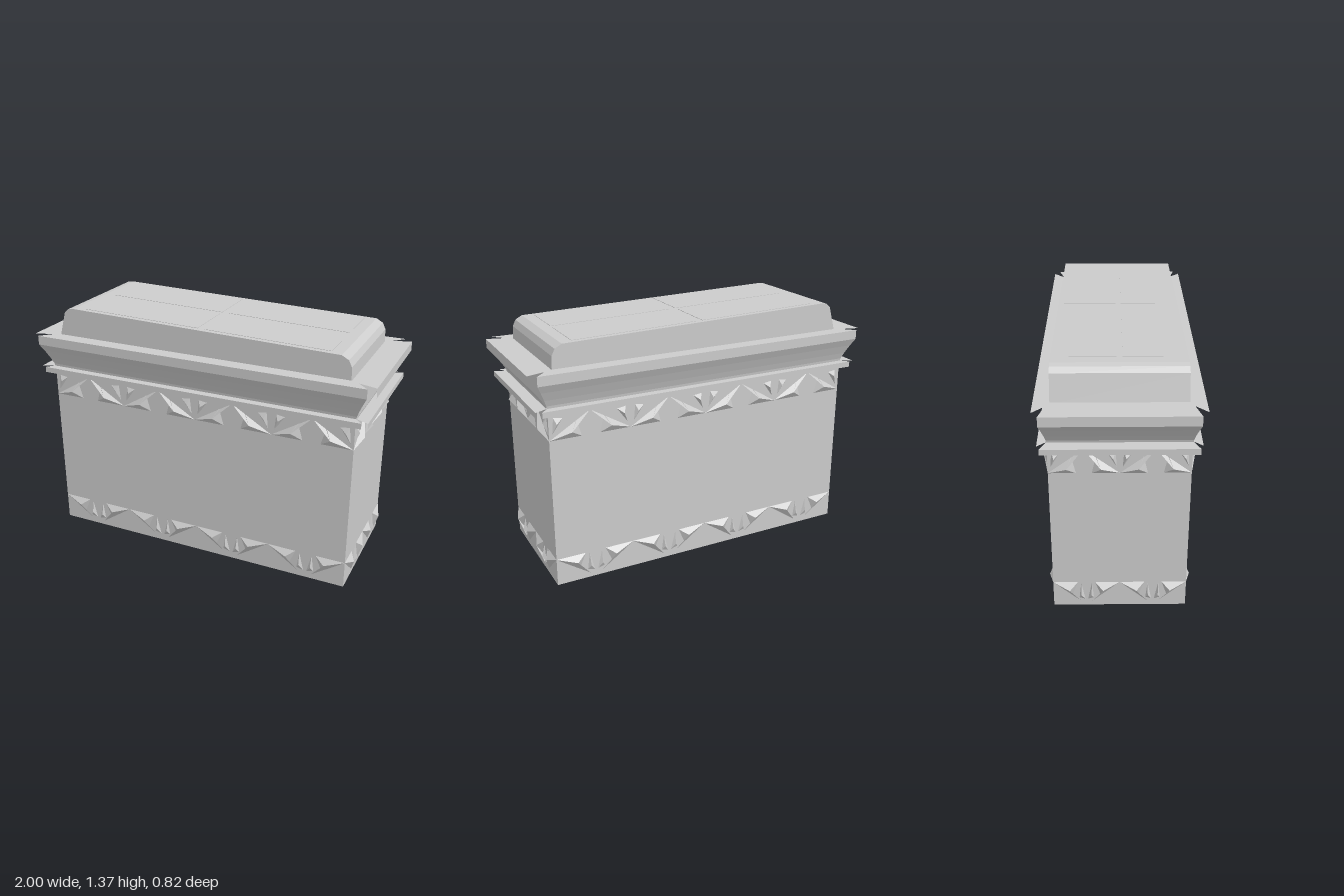
import * as THREE from 'three';

const BODY = { x: 0.9, z: 0.35 };

function material(flat = true) {
  return new THREE.MeshStandardMaterial({ color: 0xcccccc, flatShading: flat });
}

function triangleMesh(name, positions) {
  const geo = new THREE.BufferGeometry();
  geo.setAttribute('position', new THREE.Float32BufferAttribute(positions, 3));
  geo.computeVertexNormals();
  const mesh = new THREE.Mesh(geo, material());
  mesh.name = name;
  return mesh;
}

// Moulding facing +z: profile points are [outward fraction, y]; ends are mitred
function moulding(name, profile, half, wall, depth, mitre) {
  const pos = [];
  for (let i = 0; i < profile.length - 1; i++) {
    const [d0, y0] = profile[i], [d1, y1] = profile[i + 1];
    const a = [-half - d0 * mitre, y0, wall + d0 * depth];
    const b = [-half - d1 * mitre, y1, wall + d1 * depth];
    const c = [-b[0], b[1], b[2]], d = [-a[0], a[1], a[2]];
    pos.push(...a, ...b, ...c, ...a, ...c, ...d);
  }
  return triangleMesh(name, pos);
}

// Faceted leaf shapes: outline in unit coordinates (u across, v up) plus a raised point
const SWAG = { outline: [[-0.5, 1], [-0.08, 0], [-0.21, 0.35], [-0.13, 1]], peak: [-0.25, 0.72, 1] };
const DART = { outline: [[-0.08, 0.95], [-0.11, 0.2], [-0.02, 0.12]], peak: [-0.075, 0.4, 0.6] };
const PETAL = { outline: [[-0.5, 1], [0, 0], [-0.17, 0.3], [-0.11, 1]], peak: [-0.24, 0.72, 1] };
const BUD = { outline: [[-0.46, 0.75], [-0.44, 0.1], [-0.33, 0.15]], peak: [-0.41, 0.35, 0.6] };

// Row of mirrored leaves on a wall facing +z
function frieze(name, leaves, count, half, wall, yAtV0, yAtV1, depth) {
  const pos = [];
  const width = (2 * half) / count;
  for (let i = 0; i < count; i++) {
    const cx = -half + (i + 0.5) * width;
    for (const side of [1, -1]) {
      for (const { outline, peak } of leaves) {
        const place = ([u, v, w = 0]) =>
          [cx + side * u * width, yAtV0 + v * (yAtV1 - yAtV0), wall + w * depth];
        const pts = outline.map(place), top = place(peak);
        const area = pts.reduce((s, p, k) => {
          const q = pts[(k + 1) % pts.length];
          return s + p[0] * q[1] - q[0] * p[1];
        }, 0);
        if (area < 0) pts.reverse();
        pts.forEach((p, k) => pos.push(...p, ...pts[(k + 1) % pts.length], ...top));
      }
    }
  }
  return triangleMesh(name, pos);
}

export function createModel() {
  const model = new THREE.Group();
  model.name = 'chest';

  // Plain body
  const body = new THREE.Mesh(new THREE.BoxGeometry(2 * BODY.x, 1.2, 2 * BODY.z), material());
  body.name = 'body';
  body.position.y = 0.6;
  model.add(body);

  // Mouldings and leaf friezes on all four walls
  const crown = [[-0.4, 1.207], [1, 1.207], [1, 1.155], [0.65, 1.113], [0.3, 1.065], [0.08, 1.03], [0, 1.0]];
  const ledge = [[0, 1.016], [1, 1.016], [1, 0.985], [0, 0.985]];
  const walls = [
    { name: 'front', turn: 0 }, { name: 'left', turn: 1 },
    { name: 'back', turn: 2 }, { name: 'right', turn: 3 },
  ];
  for (const { name, turn } of walls) {
    const end = turn % 2 === 1;
    const half = end ? BODY.z : BODY.x, wall = end ? BODY.x : BODY.z;
    const count = end ? 2 : 4;
    const depth = end ? 0.03 : 0.026;
    const group = new THREE.Group();
    group.name = name + 'Trim';
    group.rotation.y = (turn * Math.PI) / 2;
    group.add(
      moulding('crownMoulding', crown, half, wall, end ? 0.1 : 0.06, end ? 0.028 : 0.06),
      moulding('ledgeMoulding', ledge, half, wall, end ? 0.07 : 0.045, end ? 0.032 : 0.04),
      frieze('lowerFrieze', [SWAG, DART], count, half, wall, 0.025, 0.155, depth),
      frieze('upperFrieze', [PETAL, BUD], count, half, wall, 0.975, 0.84, depth),
    );
    model.add(group);
  }

  // Sloping lid with rounded ends
  const lidShape = new THREE.Shape([
    [-0.86, 1.2], [0.858, 1.2], [0.855, 1.275], [0.838, 1.31], [0.8, 1.331],
    [-0.76, 1.368], [-0.795, 1.363], [-0.82, 1.34],
  ].map(([x, y]) => new THREE.Vector2(x, y)));
  const lidGeo = new THREE.ExtrudeGeometry(lidShape, { depth: 0.66, bevelEnabled: false });
  lidGeo.translate(0, 0, -0.33);
  const lid = new THREE.Mesh(lidGeo, material());
  lid.name = 'lid';
  model.add(lid);

  // Four very shallow panels on the lid
  const panels = new THREE.Group();
  panels.name = 'lidPanels';
  panels.position.set(0.02, 1.3495, 0);
  panels.rotation.z = -Math.atan2(0.037, 1.56);
  for (const sx of [-1, 1]) for (const sz of [-1, 1]) {
    const panel = new THREE.Mesh(new THREE.BoxGeometry(0.7, 0.004, 0.285), material());
    panel.name = 'lidPanel';
    panel.position.set(sx * 0.37, 0, sz * 0.1575);
    panels.add(panel);
  }
  model.add(panels);

  return model;
}
